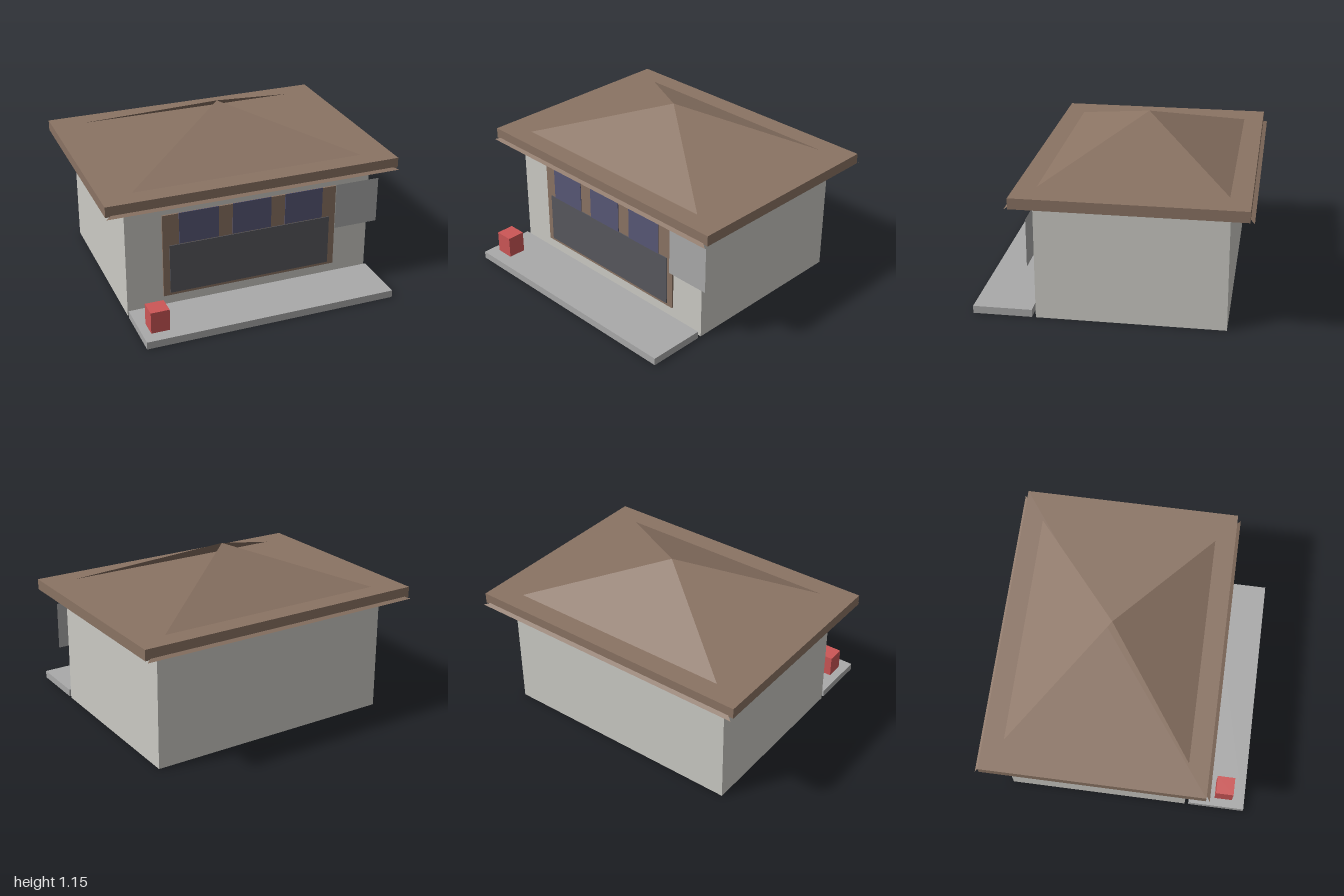
import * as THREE from 'three';

function material(name, color, side = THREE.FrontSide) {
  const m = new THREE.MeshStandardMaterial({ color, side });
  m.name = name;
  return m;
}

export function createModel() {
  const group = new THREE.Group();
  const wall = material('pale wall', 0xcbcac4);
  const roof = material('brown roof', 0x8a7363, THREE.DoubleSide);
  const grey = material('grey', 0xa9a9a9, THREE.DoubleSide);
  const glass = material('blue glass', 0x575776);
  const dark = material('dark counter', 0x57575d);
  const red = material('red', 0xcc5656);

  function add(name, geometry, mat) {
    const mesh = new THREE.Mesh(geometry, mat);
    mesh.name = name;
    group.add(mesh);
    return mesh;
  }

  // Box given by its lower and upper limits on each axis
  function box(name, mat, [x0, x1], [y0, y1], [z0, z1]) {
    const mesh = add(name, new THREE.BoxGeometry(x1 - x0, y1 - y0, z1 - z0), mat);
    mesh.position.set((x0 + x1) / 2, (y0 + y1) / 2, (z0 + z1) / 2);
    return mesh;
  }

  // Building body and front step
  box('walls', wall, [-0.853, 0.853], [0, 0.783], [-0.743, 0.478]);
  box('frontStep', grey, [-0.853, 0.853], [0, 0.05], [0.503, 0.89]);
  box('redCrate', red, [-0.797, -0.673], [0.05, 0.197], [0.682, 0.804]);

  // Shop front: frame, counter panel and three window panes
  box('shopFrame', roof, [-0.608, 0.606], [0.1, 0.685], [0.478, 0.49]);
  box('counterPanel', dark, [-0.563, 0.561], [0.12, 0.466], [0.487, 0.496]);
  for (const x of [-0.368, -0.002, 0.365]) {
    box('windowPane', glass, [x - 0.134, x + 0.134], [0.48, 0.698], [0.506, 0.511]);
  }

  // Flat sign at the right end of the shop front
  const sign = add('signBoard', new THREE.PlaneGeometry(0.31, 0.32), grey);
  sign.position.set(0.755, 0.54, 0.51);

  // Eaves slab
  box('eaves', roof, [-1, 1], [0.798, 0.869], [-0.866, 0.597]);

  // Two sloping triangles, open at the sides, passing through the eaves
  const zMid = -0.135, half = 0.757, base = 0.794, peak = 1.148;
  for (const s of [1, -1]) {
    const slope = new THREE.BufferGeometry();
    const z = zMid + s * half;
    slope.setAttribute('position', new THREE.Float32BufferAttribute(
      [-s, base, z, s, base, z, 0, peak, zMid], 3));
    slope.computeVertexNormals();
    add(s > 0 ? 'frontRoofSlope' : 'backRoofSlope', slope, roof);
  }

  return group;
}
